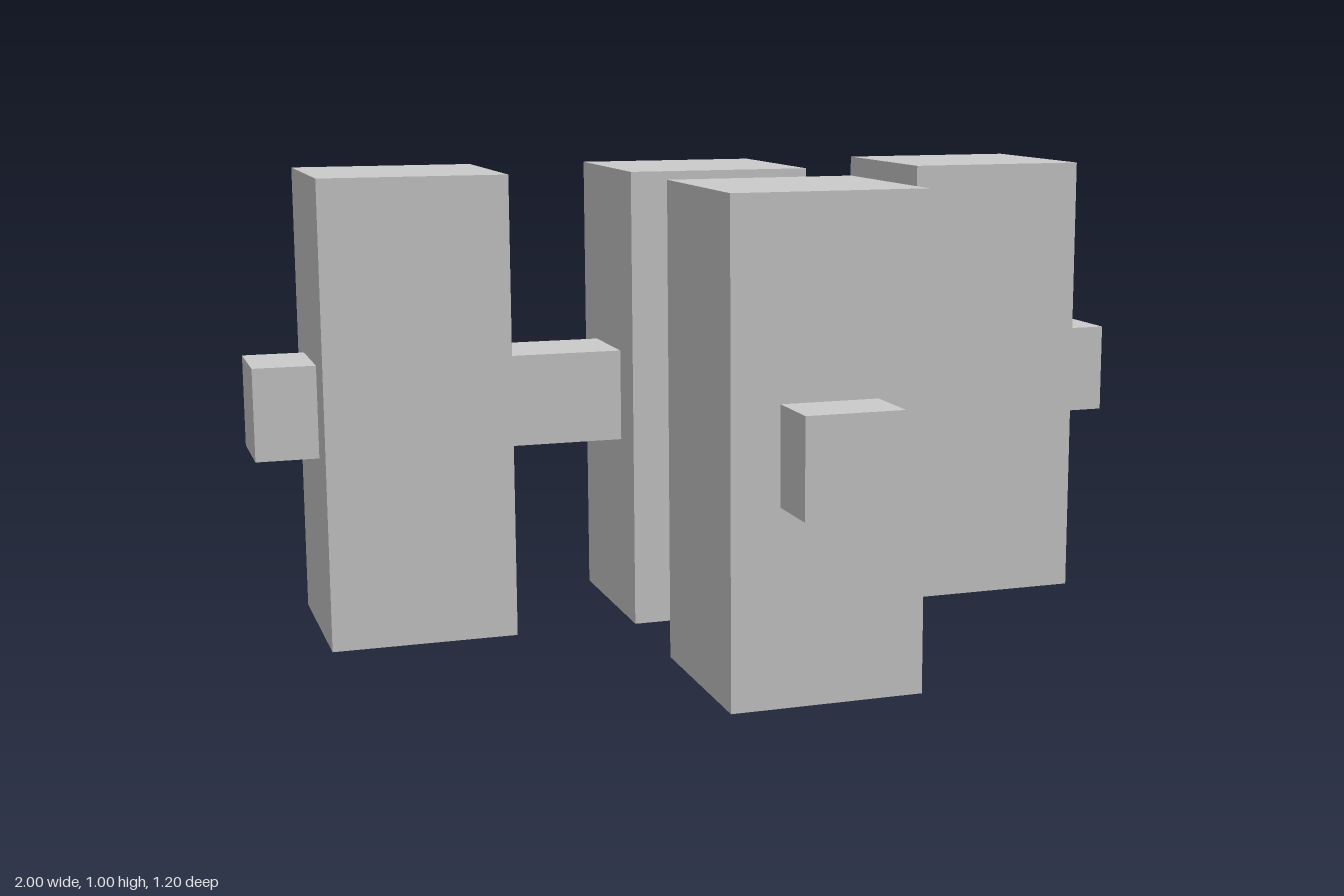
import * as THREE from 'three';

const material = new THREE.MeshStandardMaterial({ color: 0xcccccc, flatShading: true });

function box(name, size, position) {
  const mesh = new THREE.Mesh(new THREE.BoxGeometry(...size), material);
  mesh.name = name;
  mesh.position.set(...position);
  return mesh;
}

export function createModel() {
  const model = new THREE.Group();
  model.name = 'linkedPillars';

  const pitch = 2 / 3; // spacing between neighbouring pillars
  const backZ = -0.4;

  // Four upright pillars: three in the back row, one in front of the middle
  const pillars = {
    rightPillar: [-pitch, backZ],
    middlePillar: [0, backZ],
    leftPillar: [pitch, backZ],
    frontPillar: [0, backZ + pitch],
  };
  for (const [name, [x, z]] of Object.entries(pillars)) {
    model.add(box(name, [0.4, 1, 0.4], [x, 0.5, z]));
  }

  // Bar through the back row, its ends sticking out at both sides
  model.add(box('crossBar', [2, 0.2, 0.2], [0, 0.5, backZ]));

  // Bar from the cross bar's front face through the front pillar
  model.add(box('frontBar', [0.2, 0.2, 0.9], [0, 0.5, 0.15]));

  return model;
}
